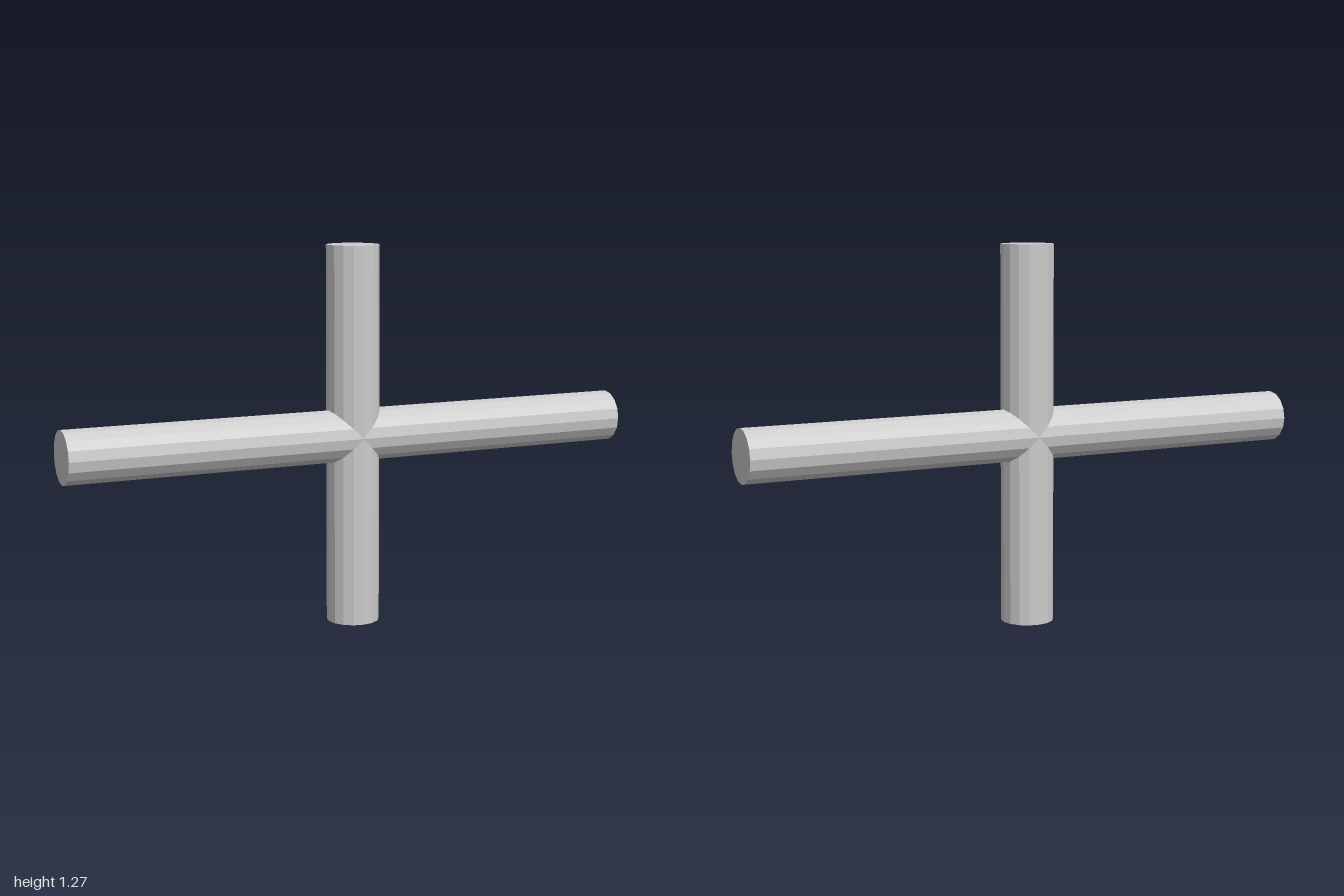
import * as THREE from 'three';

const RADIUS = 0.089;
const HEIGHT = 1.275;
const LENGTH = 2;
const SIDES = 16;

export function createModel() {
  const group = new THREE.Group();
  const material = new THREE.MeshStandardMaterial({ color: 0xcccccc, flatShading: true });

  // Round bar centred on the crossing point
  const addBar = (name, length) => {
    const bar = new THREE.Mesh(new THREE.CylinderGeometry(RADIUS, RADIUS, length, SIDES), material);
    bar.name = name;
    bar.position.y = HEIGHT / 2;
    group.add(bar);
    return bar;
  };

  addBar('uprightBar', HEIGHT);
  addBar('crossBar', LENGTH).rotation.z = Math.PI / 2;

  return group;
}
